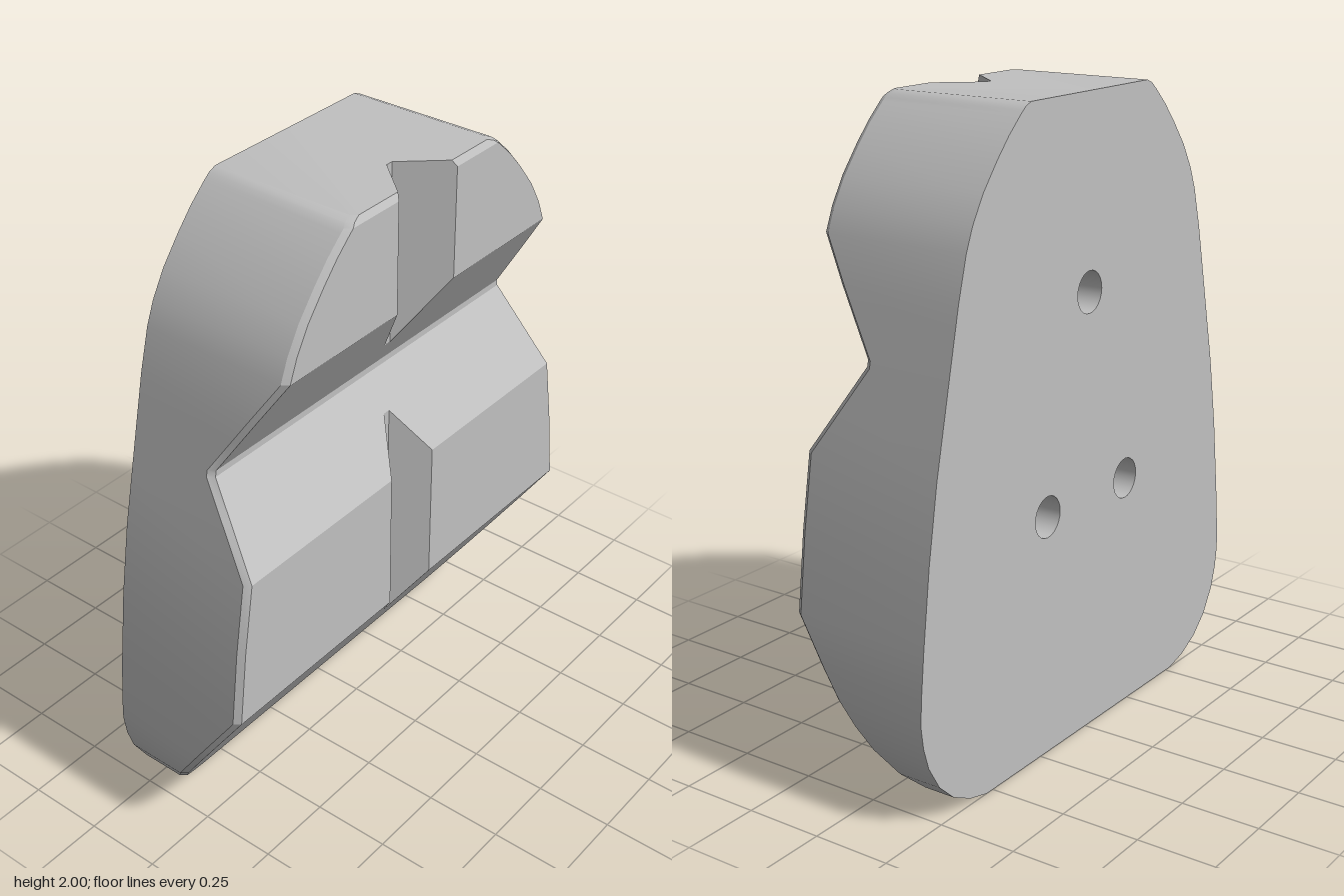
import * as THREE from 'three';
import { toCreasedNormals } from 'three/addons/utils/BufferGeometryUtils.js';

const BACK = -0.25;       // x of the flat mounting face
const FLOOR = 0.115;      // x of the groove bottom
const FLOOR_HALF = 0.012; // half width of the groove bottom
const SLOPE = 1.12;       // steepness of the groove walls
const BEVEL = 0.015;

// [y, half width] of the rounded, tapering outline
const outline = [
  [0, 0.53], [0.02, 0.61], [0.06, 0.69], [0.12, 0.755], [0.2, 0.803], [0.27, 0.825],
  [0.34, 0.835], [0.42, 0.831], [0.56, 0.817], [0.8, 0.787], [1.03, 0.748], [1.3, 0.688],
  [1.5, 0.643], [1.63, 0.607], [1.7, 0.578], [1.78, 0.53], [1.86, 0.465], [1.92, 0.41],
  [1.97, 0.355], [1.99, 0.33], [2, 0.305],
];

// [y, x] of the ridged front face
const ridges = [
  [0, -0.17], [0.02, -0.155], [0.56, 0.215], [1.03, 0.215],
  [1.29, 0.043], [1.31, 0.043], [1.63, 0.25], [1.98, 0.25], [2, 0.238],
];

function lerpTable(table, y) {
  for (let i = 1; i < table.length; i++) {
    const [y0, v0] = table[i - 1];
    const [y1, v1] = table[i];
    if (y <= y1) return v0 + (v1 - v0) * (y - y0) / (y1 - y0);
  }
  return table[table.length - 1][1];
}

// Heights at which the front face crosses the groove floor
function floorCrossings() {
  const ys = [];
  for (let i = 1; i < ridges.length; i++) {
    const [y0, x0] = ridges[i - 1];
    const [y1, x1] = ridges[i];
    if ((x0 - FLOOR) * (x1 - FLOOR) < 0) ys.push(y0 + (y1 - y0) * (FLOOR - x0) / (x1 - x0));
  }
  return ys;
}

// Horizontal section from the back edge at -z, over the front, to the back edge at +z
function section(y) {
  const w = lerpTable(outline, y);
  const x = lerpTable(ridges, y);
  const groove = FLOOR_HALF + Math.max(0, x - FLOOR) / SLOPE;
  const half = [
    [BACK, w], [x - 0.02, w], [x, w - BEVEL], [x, groove], [Math.min(x, FLOOR), FLOOR_HALF],
  ];
  const left = half.map(([px, pz]) => new THREE.Vector3(px, y, -pz));
  const right = half.map(([px, pz]) => new THREE.Vector3(px, y, pz)).reverse();
  return [...left, ...right];
}

function bodyGeometry() {
  const ys = [...outline.map((p) => p[0]), ...ridges.map((p) => p[0]), ...floorCrossings()];
  const rows = [...new Set(ys)].sort((a, b) => a - b).map(section);
  const triangles = [];
  const add = (a, b, c) => {
    if (new THREE.Triangle(a, b, c).getArea() > 1e-8) triangles.push(a, b, c);
  };
  // Front face, bevel and outer wall
  for (let i = 0; i < rows.length - 1; i++) {
    const low = rows[i];
    const high = rows[i + 1];
    for (let j = 0; j < low.length - 1; j++) {
      add(low[j], high[j], high[j + 1]);
      add(low[j], high[j + 1], low[j + 1]);
    }
  }
  // Flat bottom and top
  const bottom = rows[0];
  const top = rows[rows.length - 1];
  const bottomCentre = new THREE.Vector3(BACK, 0, 0);
  const topCentre = new THREE.Vector3(BACK, 2, 0);
  for (let j = 0; j < bottom.length - 1; j++) {
    add(bottomCentre, bottom[j], bottom[j + 1]);
    add(topCentre, top[j + 1], top[j]);
  }
  const geometry = new THREE.BufferGeometry().setFromPoints(triangles);
  return toCreasedNormals(geometry, 0.4);
}

export function createModel() {
  const group = new THREE.Group();
  group.name = 'ridgedBlock';
  const grey = new THREE.MeshStandardMaterial({ color: 0xc0c0c0, side: THREE.DoubleSide });
  grey.name = 'grey';

  const addPart = (name, geometry) => {
    const mesh = new THREE.Mesh(geometry, grey);
    mesh.name = name;
    group.add(mesh);
    return mesh;
  };

  addPart('body', bodyGeometry());

  // Flat back with three mounting holes, [z, y]
  const holes = [[0, 1.41], [0.215, 0.77], [-0.215, 0.77]];
  const radius = 0.065;
  const depth = 0.25;
  const right = outline.map(([y, w]) => new THREE.Vector2(w, y));
  const left = outline.map(([y, w]) => new THREE.Vector2(-w, y)).reverse();
  const shape = new THREE.Shape([...right, ...left]);
  for (const [z, y] of holes) {
    shape.holes.push(new THREE.Path().absarc(z, y, radius, 0, Math.PI * 2, true));
  }
  const back = new THREE.ShapeGeometry(shape, 12);
  back.rotateY(-Math.PI / 2);
  addPart('backFace', back).position.x = BACK;

  // Blind hole linings, facing inward
  const profile = [[0, depth], [radius, depth], [radius, 0]].map(([r, d]) => new THREE.Vector2(r, d));
  for (const [z, y] of holes) {
    const lining = toCreasedNormals(new THREE.LatheGeometry(profile, 24), 0.5);
    lining.rotateZ(-Math.PI / 2);
    addPart('mountingHole', lining).position.set(BACK, y, z);
  }
  return group;
}
